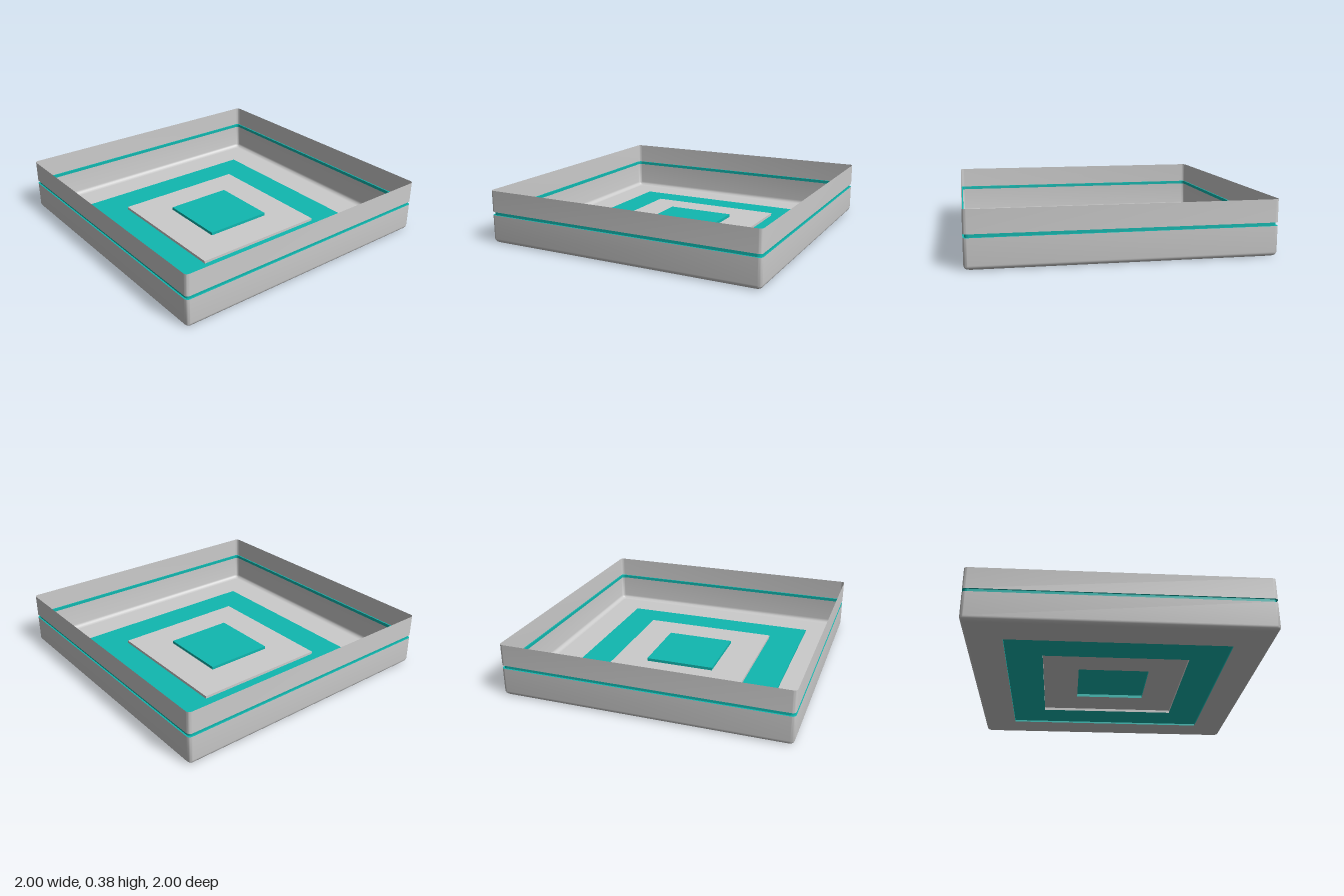
import * as THREE from 'three';
import { toCreasedNormals } from 'three/addons/utils/BufferGeometryUtils.js';

const grey = new THREE.MeshStandardMaterial({ color: 0xcccccc, side: THREE.DoubleSide });
const teal = new THREE.MeshStandardMaterial({ color: 0x10b8b0, side: THREE.DoubleSide });

const CORNER = 0.025; // plan radius of the outer corners
const FILLET = 0.03;  // radius between floor and wall

// Points of a square of half-width h, with corners rounded by r (sharp if r is 0)
function squarePoints(h, r) {
  const points = [];
  const steps = r > 0 ? 6 : 0;
  for (let c = 0; c < 4; c++) {
    const mid = Math.PI / 4 + c * Math.PI / 2;
    const cx = Math.sign(Math.cos(mid)) * (h - r);
    const cy = Math.sign(Math.sin(mid)) * (h - r);
    for (let s = 0; s <= steps; s++) {
      const a = c * Math.PI / 2 + (steps ? s / steps : 0) * Math.PI / 2;
      points.push(new THREE.Vector2(cx + r * Math.cos(a), cy + r * Math.sin(a)));
    }
  }
  return points;
}

// Thin sheet through stacked squares, each given as [half-width, height, corner radius]
function band(profile) {
  const rings = profile.map(([h, y, r]) => squarePoints(h, r).map(p => [p.x, y, p.y]));
  const n = rings[0].length;
  const index = [];
  for (let j = 0; j < rings.length - 1; j++) {
    for (let i = 0; i < n; i++) {
      const a = j * n + i, b = j * n + (i + 1) % n;
      index.push(a, a + n, b, b, a + n, b + n);
    }
  }
  const geometry = new THREE.BufferGeometry();
  geometry.setAttribute('position', new THREE.Float32BufferAttribute(rings.flat(2), 3));
  geometry.setIndex(index);
  return toCreasedNormals(geometry, Math.PI / 5);
}

// Flat square plate with an optional square opening
function plate(h, r, hole, y) {
  const shape = new THREE.Shape(squarePoints(h, r));
  if (hole) shape.holes.push(new THREE.Path(squarePoints(hole, 0)));
  return new THREE.ShapeGeometry(shape).rotateX(-Math.PI / 2).translate(0, y, 0);
}

export function createModel() {
  const model = new THREE.Group();
  const add = (parent, name, geometry, material) => {
    const mesh = new THREE.Mesh(geometry, material);
    mesh.name = name;
    parent.add(mesh);
  };

  // Outer floor
  add(model, 'outerFloor', plate(1 - FILLET, CORNER, 0.75, 0), grey);

  // Lower wall, curving up out of the floor
  const lower = [];
  for (let i = 0; i <= 6; i++) {
    const a = i / 6 * Math.PI / 2;
    lower.push([1 - FILLET + FILLET * Math.sin(a), FILLET * (1 - Math.cos(a)), CORNER]);
  }
  lower.push([1, 0.2, CORNER]);
  add(model, 'lowerWall', band(lower), grey);

  // Recessed coloured strip between the two walls
  add(model, 'accentStrip', band([
    [1, 0.2, CORNER], [0.99, 0.2, CORNER], [0.99, 0.223, CORNER], [1, 0.223, CORNER],
  ]), teal);

  // Upper wall, open at the top
  add(model, 'upperWall', band([[1, 0.223, CORNER], [1, 0.375, CORNER]]), grey);

  // Concentric floor steps, rising toward the middle
  const steps = [
    { name: 'outerStep', half: 0.75, hole: 0.5, from: 0, to: 0.0125, material: teal },
    { name: 'middleStep', half: 0.5, hole: 0.25, from: 0.0125, to: 0.032, material: grey },
    { name: 'centreStep', half: 0.25, hole: 0, from: 0.032, to: 0.053, material: teal },
  ];
  for (const { name, half, hole, from, to, material } of steps) {
    const step = new THREE.Group();
    step.name = name;
    add(step, name + 'Riser', band([[half, from, 0], [half, to, 0]]), material);
    add(step, name + 'Top', plate(half, 0, hole, to), material);
    model.add(step);
  }
  return model;
}
